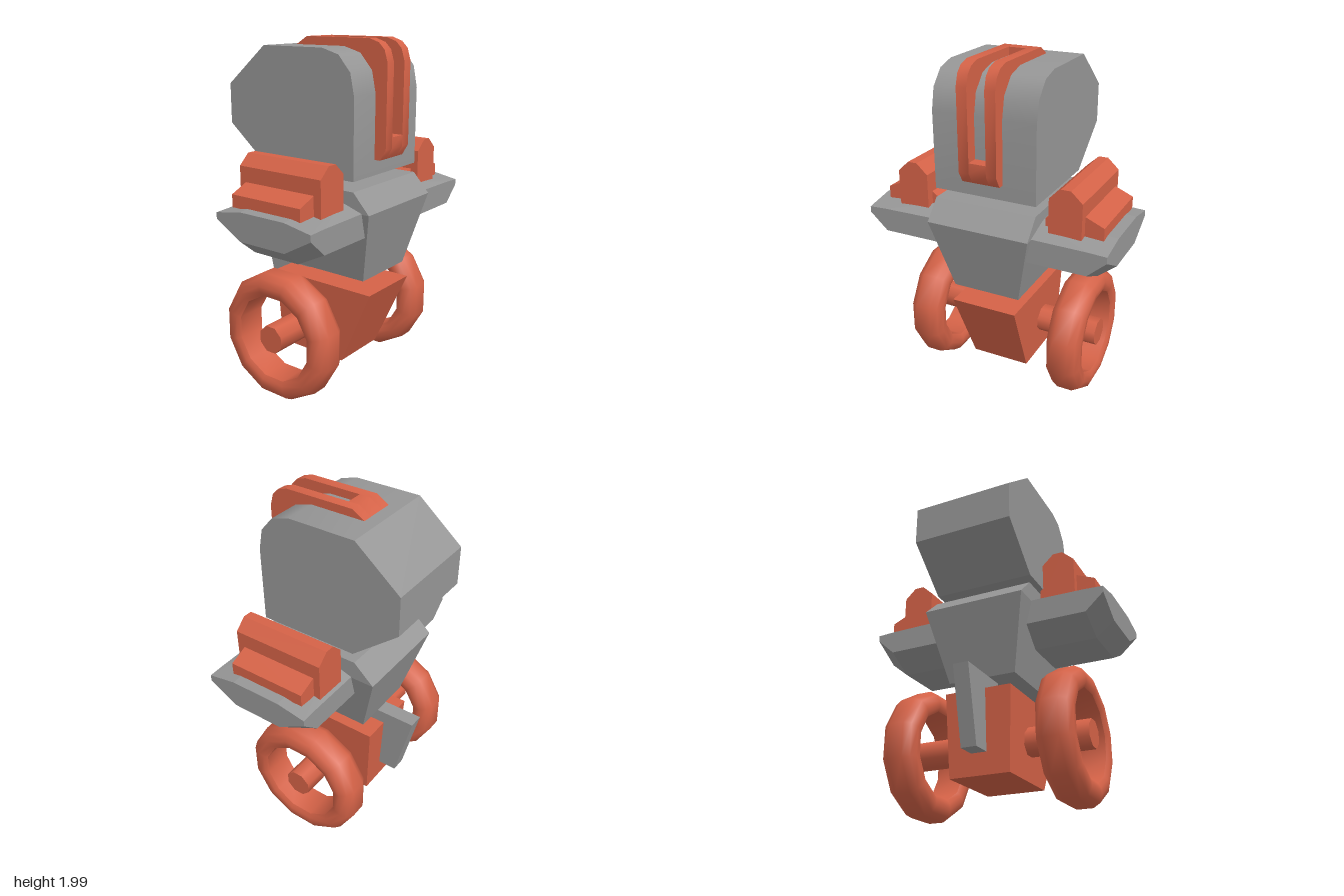
import * as THREE from 'three';
import { toCreasedNormals } from 'three/addons/utils/BufferGeometryUtils.js';
import { ConvexGeometry } from 'three/addons/geometries/ConvexGeometry.js';

export function createModel() {
  const root = new THREE.Group();
  const grey = new THREE.MeshStandardMaterial({ color: 0x969696 });
  grey.name = 'grey';
  const red = new THREE.MeshStandardMaterial({ color: 0xd46247 });
  red.name = 'orange red';

  const add = (name, geometry, material, parent = root) => {
    const mesh = new THREE.Mesh(geometry, material);
    mesh.name = name;
    parent.add(mesh);
    return mesh;
  };
  // Profile of [z, y] points extruded from x0 to x1, gentle bends kept smooth
  const slab = (profile, x0, x1) => {
    const shape = new THREE.Shape(profile.map(([z, y]) => new THREE.Vector2(z, y)));
    const g = new THREE.ExtrudeGeometry(shape, { depth: x1 - x0, bevelEnabled: false });
    g.rotateY(-Math.PI / 2).translate(x1, 0, 0);
    return toCreasedNormals(g, 0.62);
  };
  // Profile of [x, y] points extruded from z0 to z1, mirrored for the right side
  const bar = (profile, z0, z1, s) => hull([z0, z1].flatMap((z) => profile.map(([x, y]) => [s * x, y, z])));
  const hull = (points) => new ConvexGeometry(points.map((p) => new THREE.Vector3(...p)));
  // Solid between horizontal rectangles [y, halfWidth, zBack, zFront]
  const tiers = (rows) => hull(rows.flatMap(([y, w, b, f]) =>
    [[-w, y, b], [w, y, b], [-w, y, f], [w, y, f]]));

  // Head with rounded brow and tapered back
  add('head', slab([[-0.21, 1.285], [0.385, 1.285], [0.385, 1.72], [0.36, 1.84], [0.285, 1.925],
    [0.18, 1.955], [-0.22, 1.955], [-0.485, 1.735], [-0.485, 1.51]], -0.3, 0.3), grey);

  // Slotted visor frame: two rails joined at the bottom and at the back
  const visor = new THREE.Group();
  visor.name = 'visorFrame';
  root.add(visor);
  const rail = [[0.38, 1.37], [0.42, 1.37], [0.455, 1.43], [0.455, 1.88], [0.435, 1.945], [0.4, 1.98],
    [0.34, 2], [-0.075, 2], [-0.155, 1.95], [0.18, 1.95], [0.28, 1.92], [0.355, 1.84], [0.38, 1.72]];
  for (const s of [-1, 1]) add('visorRail', slab(rail, s * 0.08 - 0.03, s * 0.08 + 0.03), red, visor);
  add('visorLowerBridge', slab([[0.38, 1.37], [0.42, 1.37], [0.455, 1.43], [0.455, 1.49], [0.38, 1.49]],
    -0.05, 0.05), red, visor);
  add('visorRearBridge', slab([[-0.155, 1.95], [-0.01, 1.95], [-0.01, 2], [-0.075, 2]], -0.05, 0.05), red, visor);

  // Torso
  add('torso', tiers([[1.23, 0.3, -0.22, 0.385], [1.12, 0.3, -0.34, 0.485], [0.705, 0.2, -0.215, 0.385]]), grey);

  // Hip block and rear strut
  add('hipBlock', tiers([[0.625, 0.195, -0.26, 0.425], [0.16, 0.175, -0.23, 0.22]]), red);
  add('rearStrut', tiers([[0.705, 0.045, -0.455, -0.1], [0.28, 0.045, -0.35, -0.2]]), grey);

  // Axle
  const axle = new THREE.CylinderGeometry(0.082, 0.082, 1.1, 8);
  axle.rotateY(Math.PI / 8).rotateZ(Math.PI / 2).translate(0, 0.377, 0.01);
  add('axle', toCreasedNormals(axle, 0.9), red);

  // Closed wheel section as [radius, offset along the axle]
  const tyre = [[0.252, -0.085], [0.275, -0.1], [0.31, -0.102], [0.352, -0.085], [0.375, -0.045],
    [0.375, 0.045], [0.352, 0.085], [0.31, 0.102], [0.275, 0.1], [0.252, 0.085], [0.252, -0.085]];

  // Shoulder plate cross-section: x, top, upper edge, lower edge, bottom
  const plateRows = [[0.2, 1.18, 1.125, 0.985, 0.9], [0.61, 1.152, 1.12, 0.985, 0.9],
    [0.715, 1.145, 1.115, 1.08, 0.985]];

  for (const s of [-1, 1]) {
    const side = s > 0 ? 'left' : 'right';
    const wheel = new THREE.LatheGeometry(tyre.map((p) => new THREE.Vector2(...p)), 12, Math.PI / 12);
    wheel.rotateZ(Math.PI / 2).translate(s * 0.447, 0.375, 0.01);
    add(side + 'Wheel', toCreasedNormals(wheel, 0.9), red);

    add(side + 'ShoulderPlate', hull(plateRows.flatMap(([x, top, hi, lo, bottom]) => [
      [0.27, top], [-0.03, top], [0.44, hi], [-0.2, hi], [0.44, lo], [-0.2, lo], [0.27, bottom], [-0.03, bottom],
    ].map(([z, y]) => [s * x, y, z]))), grey);

    // Stepped block on the shoulder
    add(side + 'ShoulderRidge', bar([[0.365, 1.13], [0.365, 1.34], [0.43, 1.4], [0.485, 1.4],
      [0.55, 1.34], [0.55, 1.13]], -0.18, 0.37, s), red);
    add(side + 'ShoulderOuterStep', bar([[0.5, 1.13], [0.5, 1.275], [0.55, 1.255], [0.655, 1.21],
      [0.655, 1.14]], -0.14, 0.325, s), red);
    add(side + 'ShoulderInnerStep', bar([[0.4, 1.13], [0.4, 1.255], [0.33, 1.205], [0.33, 1.135]],
      -0.14, 0.325, s), red);
  }
  return root;
}
